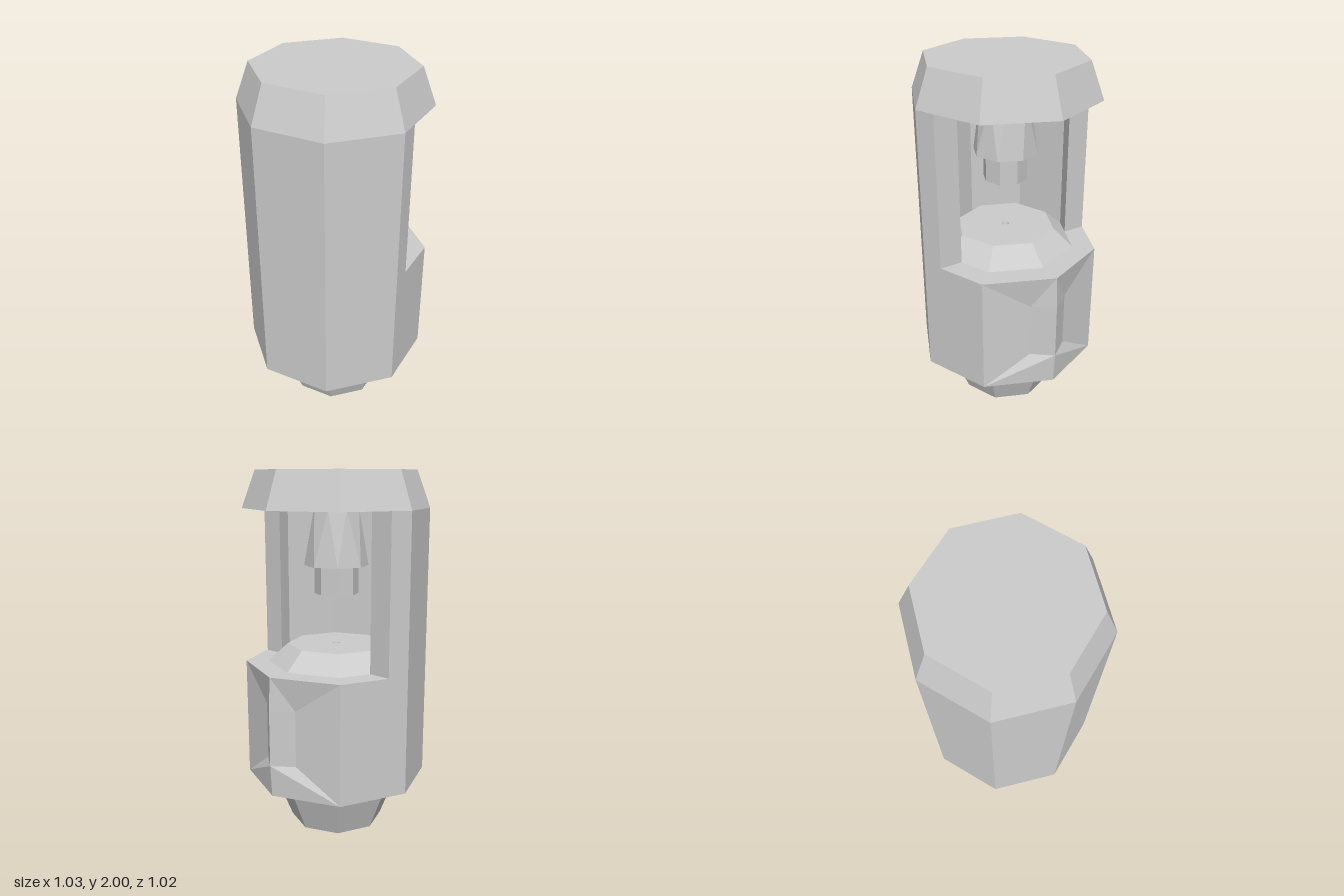
import * as THREE from 'three';

const R = 0.511; // octagon radius of the capsule
const material = new THREE.MeshStandardMaterial({ color: 0xcccccc, flatShading: true, side: THREE.DoubleSide });

function add(group, name, geometry) {
  const mesh = new THREE.Mesh(geometry, material);
  mesh.name = name;
  group.add(mesh);
  return mesh;
}

// Eight-sided turned part from [radius, height] pairs, bottom to top
function octagon(profile, start = 0, sides = 8) {
  const points = profile.map(([r, y]) => new THREE.Vector2(r, y));
  return new THREE.LatheGeometry(points, sides, start, (sides * Math.PI) / 4);
}

// Two front faces with a slightly recessed panel bent around the middle edge
function frontPanel() {
  const c = R * Math.SQRT1_2;
  const positions = [];
  const quad = (flip, ...p) => {
    const order = flip ? [0, 2, 1, 0, 3, 2] : [0, 1, 2, 0, 2, 3];
    for (const i of order) positions.push(...p[i]);
  };
  for (const s of [1, -1]) {
    const corner = [[c, 0.285, s * c], [c, 0.95, s * c]];
    const middle = [[R, 0.285, 0], [R, 0.95, 0]];
    const inner = [[0.436, 0.46, s * 0.11], [0.436, 0.77, s * 0.11]];
    const ridge = [[0.521, 0.46, 0], [0.521, 0.77, 0]];
    const flip = s < 0;
    quad(flip, corner[0], inner[0], inner[1], corner[1]);
    quad(flip, corner[0], middle[0], ridge[0], inner[0]);
    quad(flip, inner[1], ridge[1], middle[1], corner[1]);
    quad(flip, inner[0], ridge[0], ridge[1], inner[1]);
  }
  const geometry = new THREE.BufferGeometry();
  geometry.setAttribute('position', new THREE.Float32BufferAttribute(positions, 3));
  geometry.computeVertexNormals();
  return geometry;
}

// Half-open octagonal wall, cut off just past the middle
function shell() {
  const cut = 0.106;
  const arc = (r) => {
    const z = r - cut * Math.tan(Math.PI / 8);
    const points = [new THREE.Vector2(cut, z)];
    for (let i = 2; i <= 6; i++) {
      const a = (i * Math.PI) / 4;
      points.push(new THREE.Vector2(r * Math.cos(a), r * Math.sin(a)));
    }
    points.push(new THREE.Vector2(cut, -z));
    return points;
  };
  const shape = new THREE.Shape([...arc(R), ...arc(0.385).reverse()]);
  return new THREE.ExtrudeGeometry(shape, { depth: 0.85, bevelEnabled: false })
    .rotateX(-Math.PI / 2)
    .translate(0, 0.95, 0);
}

// Flared nozzle whose upper ring is turned half a side
function nozzleCone() {
  const geometry = new THREE.CylinderGeometry(0.13, 0.178, 0.31, 8);
  const position = geometry.attributes.position;
  const v = new THREE.Vector3();
  const up = new THREE.Vector3(0, 1, 0);
  for (let i = 0; i < position.count; i++) {
    v.fromBufferAttribute(position, i);
    if (v.y > 0) v.applyAxisAngle(up, -Math.PI / 8);
    position.setXYZ(i, v.x, v.y, v.z);
  }
  return geometry.translate(0, 1.645, 0);
}

export function createModel() {
  const model = new THREE.Group();
  model.name = 'capsuleStation';
  const capsule = new THREE.Group();
  capsule.name = 'capsule';
  capsule.position.x = -0.006;
  model.add(capsule);

  // Tapered foot with a shallow hollow underneath
  add(capsule, 'foot', octagon([[0, 0.06], [0.2, 0.06], [0.262, 0], [0.378, 0.285], [R, 0.285]]));

  // Lower body: six plain sides and the panelled front
  add(capsule, 'lowerBody', octagon([[R, 0.285], [R, 0.95]], (3 * Math.PI) / 4, 6));
  add(capsule, 'frontPanel', frontPanel());

  // Floor with raised platform and small centre hole
  add(capsule, 'platform', octagon([[R, 0.95], [0.385, 0.95], [0.275, 1.05], [0.022, 1.05], [0.018, 1.035], [0, 1.035]]));

  add(capsule, 'backWall', shell());
  add(capsule, 'lid', octagon([[0, 1.8], [R, 1.8], [0.437, 2], [0, 2]]));

  // Nozzle hanging from the lid
  add(capsule, 'nozzleCone', nozzleCone());
  add(capsule, 'nozzleTip', new THREE.CylinderGeometry(0.122, 0.122, 0.16, 8).translate(0, 1.415, 0));

  return model;
}
